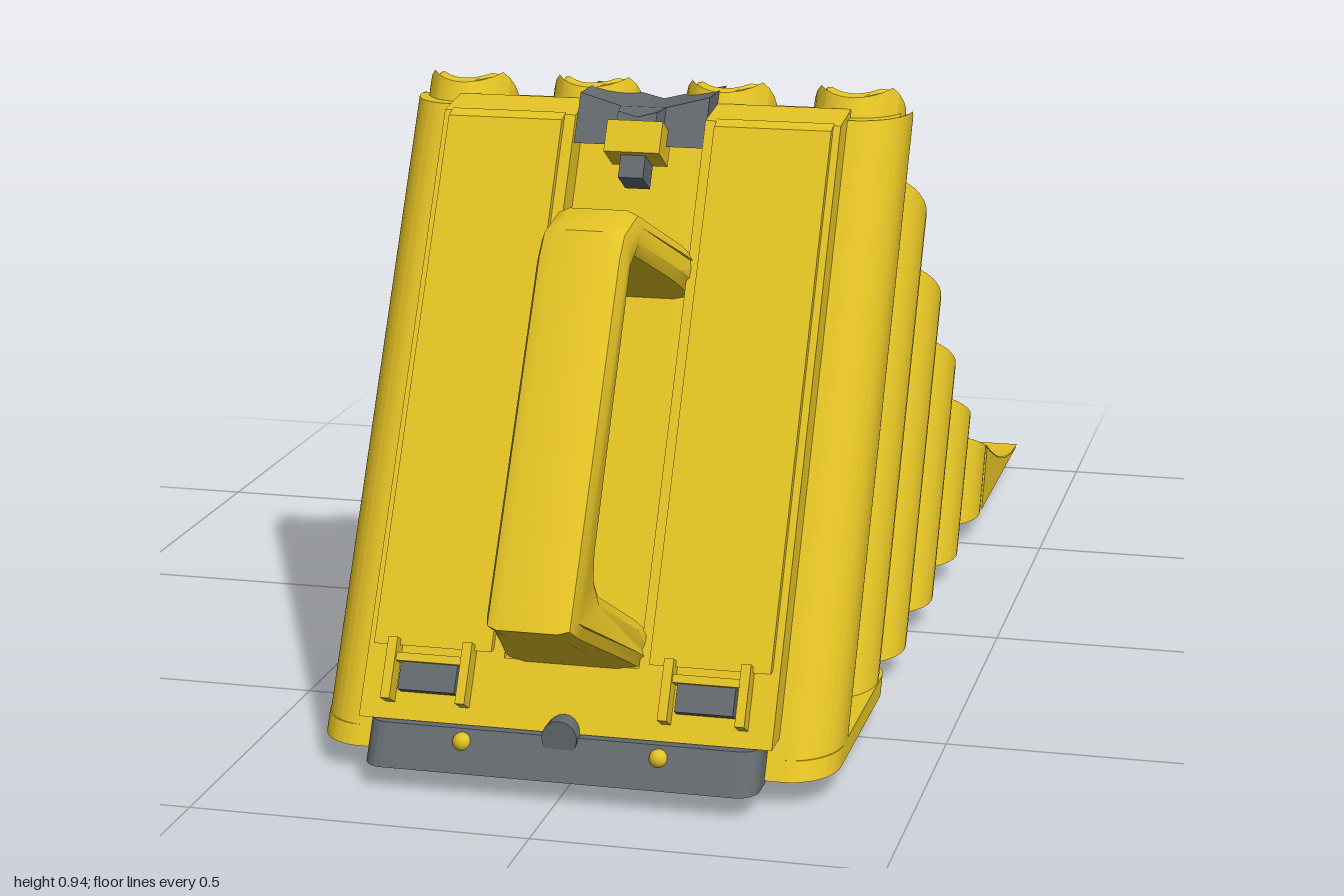
import * as THREE from 'three';
import { toCreasedNormals } from 'three/addons/utils/BufferGeometryUtils.js';

const BASE = 0.04, LEAN = 0.568, SIN = 0.87; // everything leans back at 60 degrees
const yellow = new THREE.MeshStandardMaterial({ color: 0xe3c224, side: THREE.DoubleSide });
yellow.name = 'safety yellow';
const grey = new THREE.MeshStandardMaterial({ color: 0x63696d });
grey.name = 'rubber grey';

// wheel-facing curve, and the sloping cap above it
const curve = (z) => 0.045 + 0.6 * Math.pow(Math.max(0, z + 1), 1.85);
const topY = (z) => Math.min(curve(z), 0.94 - 0.31 * Math.max(0, z - 0.24));

// height at which a leaning line starting at base z0 meets a top surface
function meet(z0, top, x) {
  let lo = BASE, hi = 1.1;
  for (let i = 0; i < 30; i++) {
    const y = (lo + hi) / 2;
    if (top(z0 - (y - BASE) * LEAN, x) > y) lo = y; else hi = y;
  }
  return lo;
}

// leaning prism: the outline is (x, -v), v being forward distance square to the lean
function prism(shape, bottom, top, crease = 0.6) {
  const g = new THREE.ExtrudeGeometry(shape, { depth: 1, bevelEnabled: false, curveSegments: 14 });
  const p = g.attributes.position;
  for (let i = 0; i < p.count; i++) {
    const x = p.getX(i), z0 = -p.getY(i) / SIN;
    const y = p.getZ(i) > 0.5 ? meet(z0, top, x) : bottom;
    p.setXYZ(i, x, y, z0 - (y - BASE) * LEAN);
  }
  return toCreasedNormals(g, crease);
}

function rect(x0, x1, v0, v1, r = 0) {
  const s = new THREE.Shape();
  const a = -v1, b = -v0;
  if (!r) return new THREE.Shape([[x0, a], [x1, a], [x1, b], [x0, b]].map((q) => new THREE.Vector2(...q)));
  s.moveTo(x0 + r, a);
  s.lineTo(x1 - r, a); s.absarc(x1 - r, a + r, r, -Math.PI / 2, 0);
  s.lineTo(x1, b - r); s.absarc(x1 - r, b - r, r, 0, Math.PI / 2);
  s.lineTo(x0 + r, b); s.absarc(x0 + r, b - r, r, Math.PI / 2, Math.PI);
  s.lineTo(x0, a + r); s.absarc(x0 + r, a + r, r, Math.PI, Math.PI * 1.5);
  return s;
}

function hole(x, v, r) {
  const h = new THREE.Path();
  h.absarc(x, -v, r, 0, Math.PI * 2, true);
  return h;
}

// plate cut from a side profile of (z, y) points
function sidePlate(points, x, width, bevel = 0) {
  const s = new THREE.Shape(points.map((q) => new THREE.Vector2(...q)));
  const g = new THREE.ExtrudeGeometry(s, {
    depth: width - 2 * bevel, bevelEnabled: bevel > 0, bevelSize: bevel,
    bevelThickness: bevel, bevelOffset: -bevel, bevelSegments: 2,
  });
  g.rotateY(-Math.PI / 2);
  g.translate(x + width / 2 - bevel, 0, 0);
  return g;
}

export function createModel() {
  const model = new THREE.Group();
  model.name = 'wheelChock';
  const add = (name, geo, mat = yellow, parent = model) => {
    const m = new THREE.Mesh(geo, mat);
    m.name = name;
    parent.add(m);
    return m;
  };
  const box = (name, w, h, d, x, y, z, mat, tilt = 0) => {
    const m = add(name, new THREE.BoxGeometry(w, h, d), mat);
    m.position.set(x, y, z);
    m.rotation.x = tilt;
    return m;
  };
  const TILT = -Math.PI / 6;
  const flat = (h) => (z) => Math.min(topY(z), h);
  const level = (h) => () => h;

  // honeycomb of open tubes with thin webs between them
  const cols = [-0.305, -0.105, 0.105, 0.305];
  const rows = [0, 1, 2, 3, 4, 5].map((i) => (-0.547 + 0.25 * i) * SIN);
  const tubes = new THREE.Group();
  tubes.name = 'tubes';
  model.add(tubes);
  const T = 0.006;
  rows.forEach((v, i) => {
    cols.forEach((x, j) => {
      const last = i === 5;
      const s = new THREE.Shape();
      s.absarc(x, -v, last ? 0.07 : 0.079, 0, Math.PI * 2, false);
      s.holes.push(hole(x, v, last ? 0.06 : 0.068));
      add('tube', prism(s, BASE, topY), yellow, tubes);
      if (!last) add('rowWeb', prism(rect(x - T, x + T, v + 0.072, rows[i + 1] - 0.072), 0.055, topY), yellow, tubes);
      if (j < 3 && !last) add('columnWeb', prism(rect(x + 0.072, cols[j + 1] - 0.072, v - T, v + T), 0.055, topY), yellow, tubes);
    });
  });

  // tall front body with the last row of holes through it
  const body = rect(-0.385, 0.385, 0.532, 0.7, 0.075);
  cols.forEach((x) => body.holes.push(hole(x, rows[5], 0.064)));
  add('body', prism(body, BASE, flat(0.9)));
  add('baseTray', prism(rect(-0.385, 0.385, 0.3, 0.7, 0.07), 0.038, level(0.065)));

  // front panels either side of the handle recess
  for (const s of [-1, 1]) {
    const span = (a, b) => (s > 0 ? [a, b] : [-b, -a]);
    add('frontPanel', prism(rect(...span(0.1, 0.305), 0.68, 0.745), 0.092, flat(0.912)));
    add('panelFace', prism(rect(...span(0.117, 0.294), 0.74, 0.757), 0.19, flat(0.905)));
    // latch at the foot of each panel
    box('latch', 0.085, 0.045, 0.03, s * 0.205, 0.148, 0.797, grey, TILT);
    for (const d of [-0.056, 0.056])
      box('latchBracket', 0.014, 0.09, 0.04, s * 0.205 + d, 0.157, 0.8, yellow, TILT);
    box('latchBar', 0.1, 0.012, 0.03, s * 0.205, 0.172, 0.79, yellow, TILT);
  }
  add('lowerStrip', prism(rect(-0.1, 0.1, 0.68, 0.745), 0.092, level(0.18)));

  // carrying handle, wider where its arms meet the body
  const handle = sidePlate([
    [0.72, 0.146], [0.80, 0.19], [0.95, 0.272], [1.0, 0.30], [0.72, 0.765], [0.69, 0.795], [0.61, 0.81],
    [0.483, 0.74], [0.42, 0.705], [0.45, 0.642], [0.53, 0.686], [0.633, 0.742], [0.665, 0.728],
    [0.863, 0.375], [0.868, 0.345], [0.855, 0.316], [0.767, 0.257], [0.70, 0.213],
  ], 0, 0.13, 0.022);
  const hp = handle.attributes.position;
  for (let i = 0; i < hp.count; i++) {
    const v = (hp.getZ(i) + (hp.getY(i) - BASE) * LEAN) * SIN;
    hp.setX(i, hp.getX(i) * (1 + 0.7 * THREE.MathUtils.clamp((0.9 - v) / 0.16, 0, 1)));
  }
  add('handle', toCreasedNormals(handle, 0.6));

  // dipped top cap with its tongue and catch
  const cap = new THREE.Shape([
    [-0.1, -0.735], [-0.035, -0.735], [-0.03, -0.765], [0, -0.765], [0.03, -0.765], [0.035, -0.735],
    [0.1, -0.735], [0.1, -0.64], [0.05, -0.62], [0, -0.62], [-0.05, -0.62], [-0.1, -0.64],
  ].map((q) => new THREE.Vector2(...q)));
  add('topCap', prism(cap, 0.86, (z, x) => Math.min(0.905 + 0.25 * Math.abs(x), curve(z) + 0.01), 0.3), grey);
  box('catch', 0.085, 0.05, 0.06, 0, 0.865, 0.385, yellow, TILT);
  box('catchTongue', 0.038, 0.05, 0.05, 0, 0.83, 0.395, grey, TILT);

  // rubber base pad, its bolts and gripping fins
  add('basePad', prism(rect(-0.29, 0.29, 0.37, 0.752, 0.03), 0.033, level(0.09)), grey);
  const knob = add('padKnob', new THREE.CylinderGeometry(0.026, 0.026, 0.06, 20), grey);
  knob.rotation.x = Math.PI / 2;
  knob.position.set(0, 0.09, 0.815);
  for (const x of [-0.145, 0.145]) {
    const bolt = add('padBolt', new THREE.SphereGeometry(0.014, 16, 10));
    bolt.position.set(x, 0.072, 0.842);
  }
  for (const x of [-0.145, 0, 0.145]) {
    const bolt = add('trayBolt', new THREE.CylinderGeometry(0.018, 0.018, 0.012, 16));
    bolt.position.set(x, 0.036, 0.385);
  }
  for (const z of [0.7, 0.47])
    for (const x of [-0.205, 0, 0.205])
      box('gripFin', 0.128, 0.044, 0.012, x, 0.022, z, grey, -0.55);

  // curved ramp skin, notched around the first row of tubes
  const notch = (x, c) => -0.612 - 0.058 * Math.sqrt(Math.max(0, 1 - ((x - c) / 0.07) ** 2));
  const rampEnd = (x) => {
    const a = Math.abs(x);
    if (a < 0.13) return -0.615;
    return a < 0.205 ? notch(a, 0.105) : notch(a, 0.305);
  };
  const skin = new THREE.PlaneGeometry(0.77, 1, 77, 16).rotateX(-Math.PI / 2);
  const sp = skin.attributes.position;
  for (let i = 0; i < sp.count; i++) {
    const x = sp.getX(i), z = -1 + (sp.getZ(i) + 0.5) * (rampEnd(x) + 1);
    sp.setXYZ(i, x, curve(z) + 0.002, z);
  }
  skin.computeVertexNormals();
  add('rampSkin', skin);

  // side walls and ribs under the ramp
  const rib = (end, foot, drop) => {
    const pts = [[-0.995, 0.044]];
    pts.push([end + foot, 0.044]);
    for (let i = 0; i <= 10; i++) {
      const z = end + (-0.99 - end) * i / 10;
      pts.push([z, Math.max(0.045, curve(z) - drop)]);
    }
    return pts;
  };
  for (const s of [-1, 1]) add('rampWall', sidePlate(rib(-0.62, 0.05, 0), s * 0.379, 0.012));
  for (const x of [-0.305, -0.205, -0.105, 0, 0.105, 0.205, 0.305])
    add('rampRib', sidePlate(rib(-0.69, 0.06, 0.004), x, 0.008));
  for (const z of [-0.86, -0.78, -0.7]) {
    const h = curve(z) - 0.05;
    box('rampCrossRib', 0.75, h, 0.008, 0, 0.044 + h / 2, z, yellow);
  }
  return model;
}
